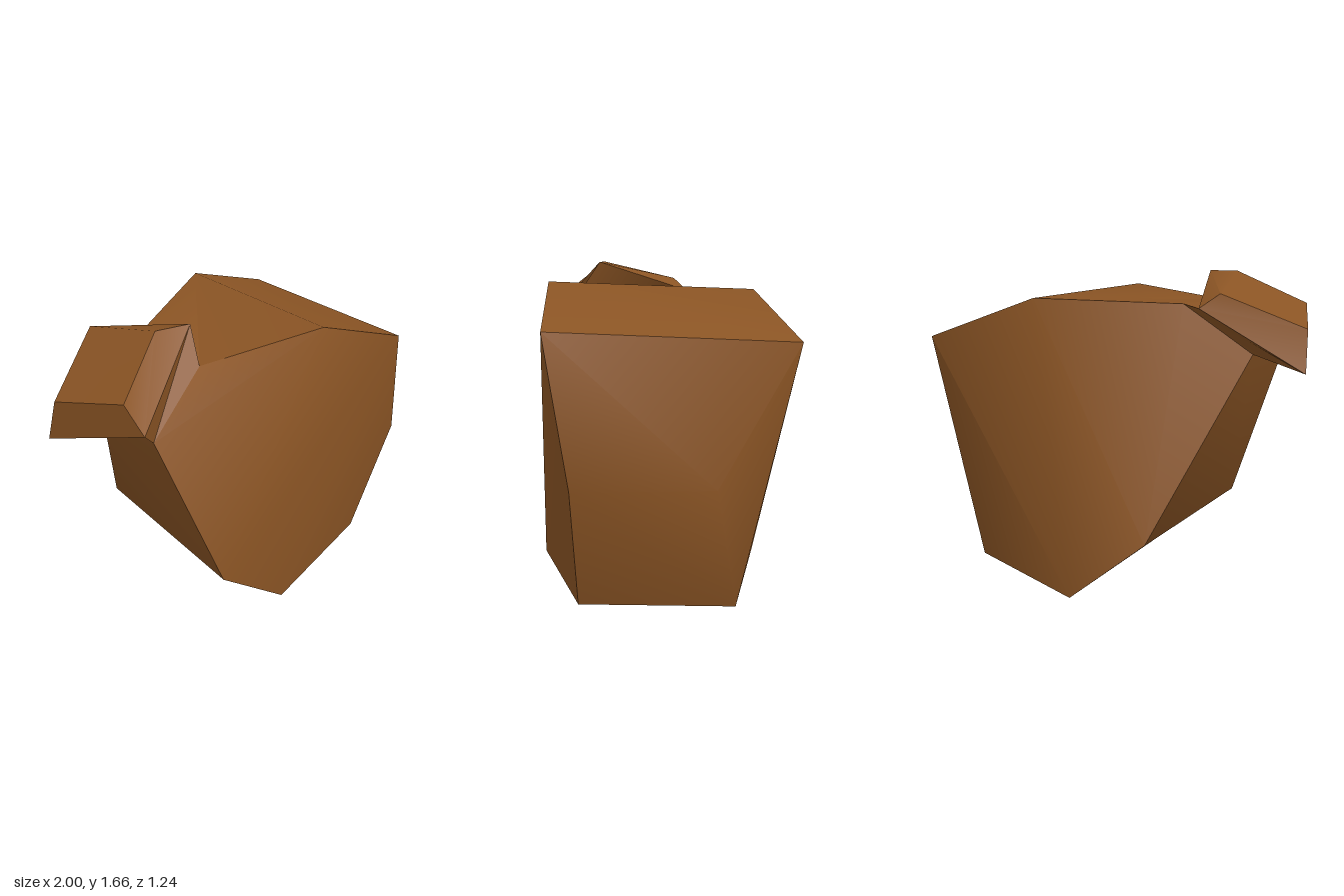
import * as THREE from 'three';
import { toCreasedNormals } from 'three/addons/utils/BufferGeometryUtils.js';

const brown = new THREE.MeshStandardMaterial({ color: 0x8a5424 });
brown.name = 'leather brown';

// Mesh from four-cornered faces, each listed counter-clockwise from outside
function quadMesh(name, quads) {
  const positions = quads.flatMap(([a, b, c, d]) => [a, b, c, a, c, d].flat());
  const geometry = new THREE.BufferGeometry();
  geometry.setAttribute('position', new THREE.Float32BufferAttribute(positions, 3));
  const mesh = new THREE.Mesh(toCreasedNormals(geometry, THREE.MathUtils.degToRad(48)), brown);
  mesh.name = name;
  return mesh;
}

// Band of faces joining two rings that run clockwise seen from the tip
function band(lower, upper) {
  return lower.map((p, i) => {
    const j = (i + 1) % lower.length;
    return [lower[j], p, upper[i], upper[j]];
  });
}

export function createModel() {
  const group = new THREE.Group();
  group.name = 'pouch';

  // Front and back outlines, clockwise from the top of the neck opening
  const front = [
    [-0.39, 1.50, 0.41], [0.24, 1.57, 0.55], [0.80, 1.37, 0.55], [0.99, 0.69, 0.43],
    [0.75, 0.06, 0.41], [0.00, 0.05, 0.62], [-0.39, 0.36, 0.60], [-0.72, 1.27, 0.52],
  ];
  const back = [
    [-0.39, 1.50, -0.07], [0.24, 1.53, -0.49], [0.82, 1.32, -0.62], [1.00, 0.69, -0.22],
    [0.75, 0.03, -0.35], [0.00, 0.00, -0.55], [-0.39, 0.33, -0.45], [-0.72, 1.25, 0.06],
  ];

  // Body: the sides around the outline, then three strips on each large face
  const body = [];
  for (let i = 0; i < 7; i++) body.push([front[i], front[i + 1], back[i + 1], back[i]]);
  for (let i = 0; i < 3; i++) {
    const strip = [i, i + 1, 6 - i, 7 - i];
    body.push(strip.map((k) => back[k]));
    body.push(strip.map((k) => front[k]).reverse());
  }
  group.add(quadMesh('body', body));

  // Neck flares from the opening to the rim, then the mouth closes over it
  const opening = [front[0], front[7], back[7], back[0]];
  const rim = [[-0.36, 1.66, 0.30], [-0.80, 1.36, 0.58], [-1.00, 1.17, 0.06], [-0.55, 1.49, -0.22]];
  const top = [[-0.53, 1.66, 0.27], [-0.84, 1.49, 0.49], [-0.98, 1.385, 0.12], [-0.63, 1.56, -0.15]];
  group.add(quadMesh('neck', band(opening, rim)));
  group.add(quadMesh('mouth', [...band(rim, top), [...top].reverse()]));

  return group;
}
